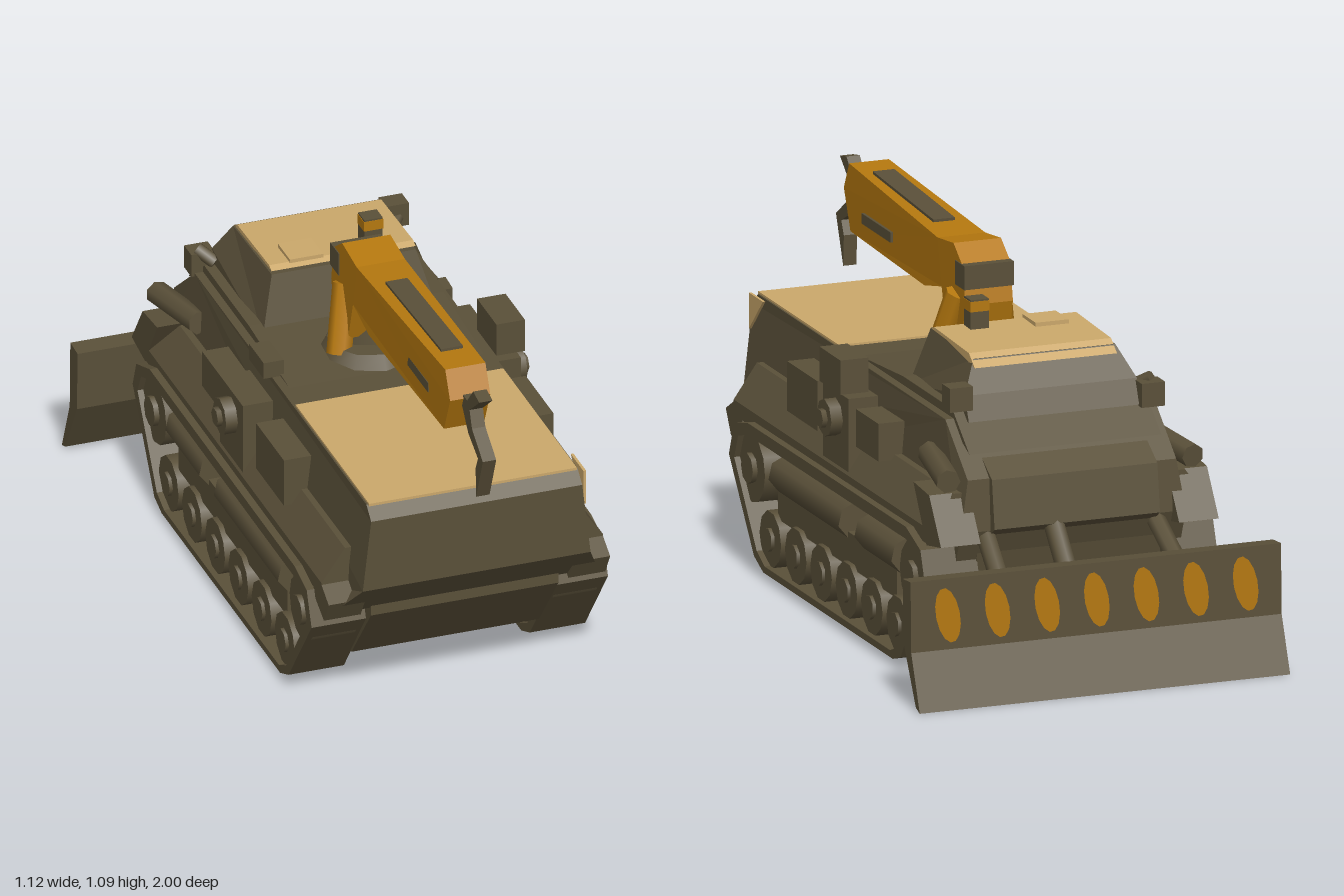
import * as THREE from 'three';

const olive = new THREE.MeshStandardMaterial({ color: 0x5a5039 });
olive.name = 'olive';
const tan = new THREE.MeshStandardMaterial({ color: 0xcba86b });
tan.name = 'tan';
const orange = new THREE.MeshStandardMaterial({ color: 0xb5780f });
orange.name = 'orange';

export function createModel() {
  const model = new THREE.Group();
  model.name = 'armouredRecoveryVehicle';

  const add = (name, geo, mat, x = 0, y = 0, z = 0) => {
    const m = new THREE.Mesh(geo, mat);
    m.name = name;
    m.position.set(x, y, z);
    model.add(m);
    return m;
  };
  const box = (name, w, h, d, x, y, z, mat = olive) => add(name, new THREE.BoxGeometry(w, h, d), mat, x, y, z);
  const shape = pts => new THREE.Shape(pts.map(p => new THREE.Vector2(...p)));

  // Side profile of [z, y] points, extruded across x; halfWidth(y, z) shapes the sides
  const slab = (name, pts, width, mat, x = 0, halfWidth = null, hole = null) => {
    const s = shape(pts);
    if (hole) s.holes.push(shape(hole));
    const g = new THREE.ExtrudeGeometry(s, { depth: width, bevelEnabled: false });
    g.translate(0, 0, -width / 2).rotateY(-Math.PI / 2);
    if (halfWidth) {
      const p = g.attributes.position;
      for (let i = 0; i < p.count; i++) p.setX(i, Math.sign(p.getX(i)) * halfWidth(p.getY(i), p.getZ(i)));
      g.computeVertexNormals();
    }
    return add(name, g, mat, x);
  };
  // Wheel or drum lying along x
  const drum = (name, r, w, x, y, z, sides = 10, mat = olive) =>
    add(name, new THREE.CylinderGeometry(r, r, w, sides).rotateZ(Math.PI / 2), mat, x, y, z);
  // Round strut between two points
  const strut = (name, a, b, r, mat = olive) => {
    const A = new THREE.Vector3(...a), d = new THREE.Vector3(...b).sub(A);
    const m = add(name, new THREE.CylinderGeometry(r, r, d.length(), 7), mat);
    m.position.copy(A).addScaledVector(d, 0.5);
    m.quaternion.setFromUnitVectors(new THREE.Vector3(0, 1, 0), d.normalize());
    return m;
  };

  // Hull
  slab('lowerHull', [[0.62, 0.14], [0.78, 0.34], [0.78, 0.42], [-0.74, 0.42], [-0.72, 0.32], [-0.52, 0.14]], 0.56, olive);
  slab('upperHull', [[0.84, 0.735], [0.88, 0.70], [0.88, 0.48], [0.77, 0.36], [0.6, 0.35], [-0.72, 0.35],
    [-0.76, 0.45], [-0.75, 0.6], [-0.58, 0.735]], 0.66, olive, 0,
  (y, z) => y > 0.6 ? 0.315 : z > 0.7 && y < 0.4 ? 0.40 : 0.34);
  box('frontDeck', 0.62, 0.008, 0.61, 0, 0.737, 0.545, tan);
  slab('deckCorner', [[0.865, 0.735], [0.865, 0.63], [0.76, 0.735]], 0.008, tan, 0.328);
  slab('rearDeck', [[0.2, 0.73], [-0.2, 0.76], [-0.57, 0.76], [-0.7, 0.66], [-0.6, 0.7]], 0.58, olive);
  slab('rearPlate', [[-0.6, 0.7], [-0.77, 0.6], [-0.79, 0.46], [-0.7, 0.4]], 0.5, olive);

  // Cabin with tan roof
  slab('cabin', [[-0.17, 0.73], [-0.22, 0.90], [-0.54, 0.89], [-0.59, 0.8], [-0.62, 0.73]], 0.5, olive, 0,
    y => y > 0.85 ? 0.215 : 0.26);
  slab('cabinRoof', [[-0.235, 0.902], [-0.255, 0.911], [-0.52, 0.903], [-0.565, 0.87], [-0.54, 0.892]], 0.43, tan, 0.005);
  box('periscope', 0.055, 0.10, 0.05, 0.105, 0.945, -0.29);
  box('periscopeBand', 0.058, 0.03, 0.053, 0.105, 0.975, -0.29, orange);
  box('roofHatch', 0.1, 0.03, 0.1, -0.1, 0.905, -0.3, tan);

  for (const s of [1, -1]) {
    // Sloping fender along the side
    const fender = new THREE.ExtrudeGeometry(
      shape([[0.29, 0.56], [0.35, 0.56], [0.42, 0.46], [0.42, 0.415], [0.29, 0.40]].map(([x, y]) => [s * x, y])),
      { depth: 1.49, bevelEnabled: false });
    add('fender', fender, olive, 0, 0, -0.73);
    slab('fenderNose', [[0.75, 0.46], [0.82, 0.42], [0.78, 0.35], [0.68, 0.40]], 0.11, olive, s * 0.365);
    slab('fenderTail', [[-0.6, 0.57], [-0.72, 0.56], [-0.81, 0.43], [-0.7, 0.41]], 0.12, olive, s * 0.36);

    // Track loop
    slab('track',
      [[0.74, 0.31], [0.70, 0.41], [0.6, 0.435], [-0.6, 0.44], [-0.71, 0.40], [-0.74, 0.32], [-0.56, 0.05], [-0.5, 0.03], [0.48, 0.03], [0.55, 0.06]],
      0.165, olive, s * 0.36, null,
      [[0.70, 0.31], [0.67, 0.38], [0.6, 0.40], [-0.6, 0.405], [-0.67, 0.38], [-0.70, 0.32], [-0.54, 0.075], [-0.48, 0.05], [0.47, 0.05], [0.53, 0.08]]);
    // Running gear
    for (let i = 0; i < 6; i++) {
      const z = 0.47 - i * 0.192;
      drum('roadWheel', 0.082, 0.13, s * 0.36, 0.128, z);
      drum('wheelHub', 0.035, 0.15, s * 0.36, 0.128, z, 7);
    }
    for (const z of [0.61, -0.61]) {
      drum('endWheel', 0.1, 0.13, s * 0.36, 0.30, z, 12);
      drum('endHub', 0.045, 0.16, s * 0.36, 0.30, z, 8);
    }
    slab('wheelFrame', [[0.66, 0.25], [0.6, 0.40], [-0.62, 0.40], [-0.62, 0.25], [-0.52, 0.14], [0.54, 0.14]], 0.06, olive, s * 0.32);
    strut('suspensionTubeFront', [s * 0.385, 0.32, 0.45], [s * 0.385, 0.32, -0.08], 0.055);
    strut('suspensionTubeRear', [s * 0.385, 0.32, -0.2], [s * 0.385, 0.32, -0.48], 0.055);
    box('suspensionPlate', 0.12, 0.1, 0.9, s * 0.35, 0.24, 0);

    // Stowage, winch drum and lamps on the hull sides
    box('stowageBox', 0.085, 0.145, 0.23, s * 0.36, 0.59, 0.285);
    box('rearStowage', 0.08, 0.11, 0.17, s * 0.36, 0.60, -0.2);
    box('winchHousing', 0.09, 0.22, 0.19, s * 0.37, 0.57, 0);
    drum('winchDrum', 0.055, 0.06, s * 0.42, 0.605, 0, 8);
    drum('winchAxle', 0.028, 0.03, s * 0.45, 0.605, 0, 6);
    strut('lampPost', [s * 0.26, 0.77, -0.56], [s * 0.30, 0.80, -0.60], 0.02);
    box('rearLamp', 0.07, 0.07, 0.06, s * 0.29, s > 0 ? 0.805 : 0.76, -0.61);
    strut('rearPipe', [s * 0.33, 0.62, -0.5], [s * 0.37, 0.6, -0.74], 0.035);

    // Blade lift arms
    strut('upperArm', [s * 0.25, 0.47, -0.68], [s * 0.27, 0.32, -0.9], 0.028);
    strut('lowerArm', [s * 0.20, 0.27, -0.64], [s * 0.20, 0.18, -0.9], 0.026);
  }
  box('sideToolBox', 0.085, 0.10, 0.16, 0.39, 0.74, 0);
  box('sideToolBoxSmall', 0.06, 0.05, 0.12, -0.31, 0.76, 0);
  strut('liftCylinder', [0.06, 0.5, -0.72], [0.06, 0.3, -0.9], 0.03);

  // Dozer blade with painted ovals
  slab('dozerBlade', [[-0.87, 0.37], [-0.93, 0.375], [-0.935, 0.17], [-1.0, 0.01], [-0.97, 0.02], [-0.875, 0.19]], 1.12, olive);
  for (let i = 0; i < 7; i++) {
    const oval = add('bladeStripe', new THREE.CircleGeometry(1, 14), orange, -0.45 + i * 0.15, 0.27, -0.938);
    oval.scale.set(0.036, 0.082, 1);
    oval.rotation.set(0, Math.PI, 0.2);
  }

  // Crane base
  add('craneRing', new THREE.CylinderGeometry(0.12, 0.15, 0.05, 10), olive, 0, 0.75, -0.01);
  for (const s of [1, -1]) {
    strut('craneLeg', [s * 0.10, 0.75, 0.02], [s * 0.06, 0.94, -0.04], 0.037, orange);
    box('boomCheekPaint', 0.008, 0.03, 0.22, s * 0.066, 0.975, 0.56);
  }
  add('cranePillar', new THREE.CylinderGeometry(0.06, 0.09, 0.22, 8), olive, 0, 0.83, -0.03);

  // Crane boom, narrowing to its tip
  slab('craneBoom', [[0.80, 1.10], [0.84, 1.02], [0.79, 0.905], [0.2, 0.90], [0.07, 0.93], [0.03, 0.80], [-0.08, 0.80],
    [-0.11, 0.92], [-0.09, 1.03], [-0.02, 1.08], [0.1, 1.065]], 0.14, orange, -0.005,
  (y, z) => z > 0.5 ? 0.06 : 0.072);
  const streak = box('boomTopPaint', 0.065, 0.008, 0.46, -0.005, 1.087, 0.46);
  streak.rotation.x = -0.05;
  box('boomHinge', 0.15, 0.07, 0.07, -0.005, 1.0, -0.075);

  // Hook
  slab('craneHook', [[0.80, 1.03], [0.87, 1.03], [0.92, 1.085], [0.97, 1.075], [0.89, 1.01], [0.91, 0.96], [1.0, 0.90],
    [0.945, 0.76], [0.94, 0.85], [0.96, 0.89], [0.88, 0.93], [0.83, 0.99]], 0.04, olive, -0.005);
  return model;
}
